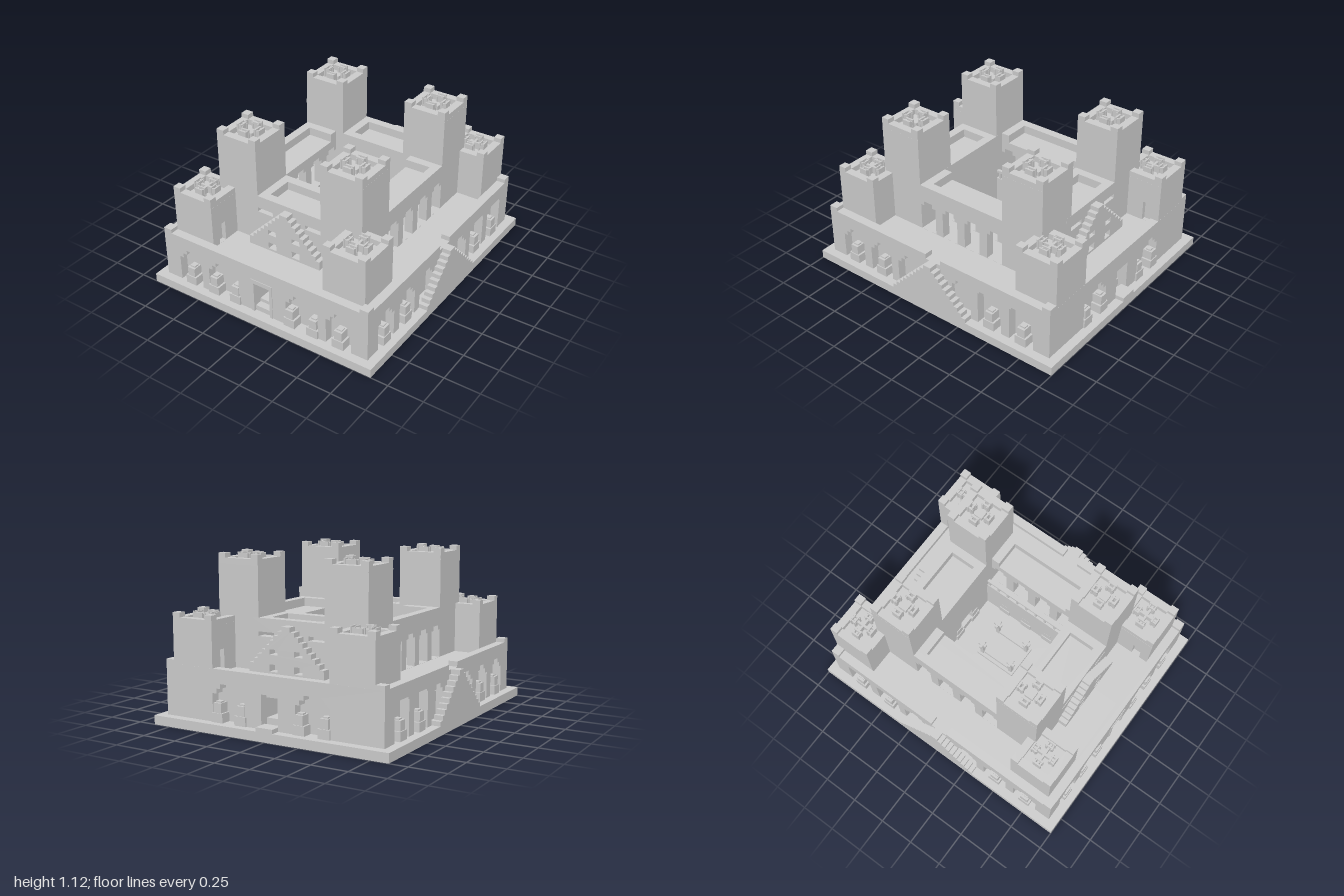
import * as THREE from 'three';

const U = 0.0625, S = U / 2;
const material = new THREE.MeshStandardMaterial({ color: 0xcccccc, flatShading: true });

export function createModel() {
  const model = new THREE.Group();
  model.name = 'courtyardCastle';

  const add = (name, geometry, parent = model) => {
    const mesh = new THREE.Mesh(geometry, material);
    mesh.name = name;
    parent.add(mesh);
    return mesh;
  };
  // box given by its limits on each axis
  const box = (name, x0, x1, y0, y1, z0, z1, parent) => {
    const g = new THREE.BoxGeometry(Math.abs(x1 - x0), y1 - y0, Math.abs(z1 - z0));
    g.translate((x0 + x1) / 2, (y0 + y1) / 2, (z0 + z1) / 2);
    return add(name, g, parent);
  };
  const toPoints = (list) => list.map(([x, y]) => new THREE.Vector2(x, y));
  const slab = (outline, holes, depth) => {
    const shape = new THREE.Shape(toPoints(outline));
    shape.holes = holes.map((h) => new THREE.Path(toPoints(h)));
    return new THREE.ExtrudeGeometry(shape, { depth, bevelEnabled: false });
  };
  // wall facing z, starting at z0; wall facing x, ending at x1
  const wallZ = (name, outline, holes, z0, depth = U) => add(name, slab(outline, holes, depth).translate(0, 0, z0));
  const wallX = (name, outline, holes, x1, depth = U) =>
    add(name, slab(outline, holes, depth).rotateY(-Math.PI / 2).translate(x1, 0, 0));
  const rect = (x0, x1, y0, y1) => [[x0, y0], [x1, y0], [x1, y1], [x0, y1]];
  // symmetric stepped outline from rows of [half width, top]
  const stepped = (c, y0, rows) => {
    const right = [];
    let y = y0;
    for (const [w, top] of rows) {
      right.push([w, y], [w, top]);
      y = top;
    }
    return [...right.map(([w, v]) => [c + w, v]), ...right.reverse().map(([w, v]) => [c - w, v])];
  };
  const arch = (c, w) => stepped(c, U, [[w, 0.25], [w - S, 0.283], [w - U, 0.315]]);
  const squareArch = (c, w) => stepped(c, U, [[w, 0.3], [w - 0.012, 0.315]]);
  const windowArch = (c) => stepped(c, 0.376, [[U, 0.57], [0.035, 0.6]]);
  const stairs = (n, y0, base) => stepped(0, base,
    Array.from({ length: n }, (_, i) => [S * (n - i), y0 + S * (i + 1)]));

  // base plate with a small opening underneath
  add('basePlate', slab(rect(-0.875, 0.875, -1, 1), [rect(-S, S, 0.01, 0.01 + U)], U).rotateX(-Math.PI / 2));
  box('backPath', -U, U, U, 0.09, -1, -0.9);

  // ground floor core around the courtyard, with a passage front and back
  for (const s of [-1, 1]) {
    box('groundFloorSide', s * 0.25, s * 0.75, U, 0.375, -0.875, 0.875);
    box('groundFloorFront', s * U, s * 0.25, U, 0.375, 0.3125, 0.875);
    box('groundFloorBack', s * U, s * 0.25, U, 0.375, -0.875, -0.38);
  }
  for (const [z0, z1] of [[0.3125, 0.875], [-0.875, -0.38]]) {
    box('passageCeiling', -U, U, 0.255, 0.375, z0, z1);
    box('passageFloor', -U, U, U, 0.125, z0, z1);
  }
  box('frontStep', -U, U, U, 0.1, 0.875, 0.925);

  // outer walls with arched niches and the low parapet
  const door = rect(-U, U, U, 0.285);
  const pairs = [-0.315, 0.315].map((c) => arch(c, 0.125));
  const outer = rect(-0.8125, 0.8125, 0.03, 0.41);
  wallZ('frontWall', outer, [door, ...pairs, arch(-0.595, 0.094), arch(0.595, 0.094)], 0.875);
  wallZ('backWall', outer, [door, ...pairs], -0.9375);
  const sideOutline = [[-0.875, 0.03], [0.875, 0.03], [0.875, 0.41], [U, 0.41], [U, 0.375],
    [-U, 0.375], [-U, 0.41], [-0.875, 0.41]];
  const sideNiches = [
    ...[0.725, 0.47, 0.22, -0.22].map((c) => arch(c, 0.094)),
    ...[-0.465, -0.72].map((c) => squareArch(c, 0.094))];
  for (const x of [0.8125, -0.75]) wallX('sideWall', sideOutline, sideNiches, x);
  for (const x of [-1, 1]) for (const z of [-1, 1])
    box('cornerMerlon', x * 0.75, x * 0.8125, 0.41, 0.4375, z * 0.875, z * 0.9375);

  // door frame posts and lintel
  for (const s of [-1, 1]) box('doorPost', s * U, s * 0.085, U, 0.315, 0.93, 0.942);
  box('doorLintel', -0.085, 0.085, 0.285, 0.315, 0.93, 0.942);

  // two-tier pedestals standing in the niches, local front toward +z
  const pedestal = (x, z, angle) => {
    const g = new THREE.Group();
    g.name = 'pedestal';
    box('pedestalFoot', -0.043, 0.043, U, 0.125, -U, 0.012, g);
    box('pedestalTop', -0.029, 0.029, 0.125, 0.19, -U, 0.006, g);
    box('pedestalCap', -0.02, 0.02, 0.19, 0.2, -0.045, -0.01, g);
    g.position.set(x, 0, z);
    g.rotation.y = angle;
    model.add(g);
  };
  for (const s of [-1, 1]) {
    for (const x of [0.22, 0.4, 0.595]) pedestal(s * x, 0.9375, 0);
    for (const x of [0.22, 0.4]) pedestal(s * x, -0.9375, Math.PI);
    for (const z of [0.725, 0.47, -0.465, -0.72]) pedestal(s * 0.8125, z, s * Math.PI / 2);
    for (const z of [-0.22, -0.03, 0.16]) pedestal(s * 0.255, z, -s * Math.PI / 2);
    pedestal(s * 0.09, -0.38, 0);
    pedestal(s * 0.09, 0.3125, Math.PI);
  }

  // outside stairs climbing both ways to the terrace
  for (const x of [0.875, -0.8125]) wallX('sideStairs', stairs(10, U, U), [], x);

  // stepped gables with small windows and doors
  const gableHoles = [-0.094, 0.094].flatMap((c) =>
    [rect(c - S, c + S, 0.5, 0.535), rect(c - S, c + S, 0.39, 0.4375)]);
  for (const z of [0.625, -0.75]) wallZ('steppedGable', stairs(9, 0.406, 0.375), gableHoles, z);

  // upper storey walls
  const slots = [rect(-0.25, -0.13, 0.6, 0.63), rect(0.13, 0.25, 0.6, 0.63)];
  for (const z of [0.5625, -0.6875]) wallZ('hallOuterWall', rect(-0.3, 0.3, 0.35, 0.72), slots, z);
  for (const z of [0.3125, -0.4375]) wallZ('hallCourtWall', rect(-0.5, 0.5, 0.35, 0.72), [], z);
  const windows = [0.25, 0.0625, -0.125, -0.3125].map(windowArch);
  for (const x of [0.5625, -0.5])
    wallX('galleryOuterWall', rect(-0.5, 0.45, 0.35, 0.72), windows, x);
  for (const x of [0.375, -0.3125])
    wallX('galleryCourtWall', rect(-0.43, 0.37, 0.35, 0.66), windows, x);

  // sunken roofs with raised ends, and the gallery rails
  for (const s of [-1, 1]) {
    box('galleryRoof', s * 0.3125, s * 0.52, 0.63, 0.66, -0.4, 0.34);
    box('galleryRoofEnd', s * 0.3125, s * 0.52, 0.63, 0.72, 0.25, 0.32);
    box('galleryRoofEnd', s * 0.3125, s * 0.52, 0.63, 0.72, -0.38, -0.3125);
    box('galleryRail', s * 0.253, s * 0.275, 0.42, 0.4375, -0.38, 0.3125);
    for (let i = 0; i < 9; i++) {
      const z = -0.36 + i * 0.081;
      box('railPost', s * 0.255, s * 0.273, 0.37, 0.425, z - 0.008, z + 0.008);
    }
  }
  for (const [z0, z1] of [[0.36, 0.58], [-0.64, -0.42]]) {
    box('hallRoof', -0.27, 0.27, 0.63, 0.66, z0, z1);
    for (const s of [-1, 1]) box('hallRoofEnd', s * 0.19, s * 0.26, 0.63, 0.72, z0, z1);
  }

  // tower top: sunken floor, rim, corner merlons and a cross of small blocks
  const towerTop = (cx, cz, top, thin, parent) => {
    const h = 0.156, i = h - 0.055, rim = top - S, floor = top - 0.07;
    for (const s of [-1, 1]) {
      box('rim', cx + s * i, cx + s * h, floor, rim, cz - h, cz + h, parent);
      box('rim', cx - i, cx + i, floor, rim, cz + s * i, cz + s * h, parent);
      for (const t of [-1, 1])
        box('merlon', cx + s * i, cx + s * h, rim, top, cz + t * i, cz + t * h, parent);
    }
    const w = thin ? 0.01 : 0.013;
    for (let k = 0; k < 4; k++) {
      const arm = new THREE.Group();
      arm.name = 'crossArm';
      for (const s of [-1, 1])
        box('armBlock', 0.045, 0.09, floor, top - 0.01, s * 0.02 - w / 2, s * 0.02 + w / 2, arm);
      for (const d of [0.05, 0.08])
        box('armBar', d, d + w, floor, top - 0.002, -0.03, 0.03, arm);
      if (thin) box('armSpine', 0, 0.09, floor, top - 0.02, -0.008, 0.008, arm);
      arm.position.set(cx, 0, cz);
      arm.rotation.y = k * Math.PI / 2;
      parent.add(arm);
    }
    if (!thin) box('crossHub', cx - 0.03, cx + 0.03, floor, top - 0.04, cz - 0.03, cz + 0.03, parent);
  };

  for (const s of [-1, 1]) {
    // tall inner towers
    for (const z of [0.469, -0.531]) {
      const t = new THREE.Group();
      t.name = 'tallTower';
      box('towerBody', s * 0.25, s * 0.5625, 0.375, 1.055, z - 0.156, z + 0.156, t);
      towerTop(s * 0.406, z, 1.125, false, t);
      model.add(t);
    }
    // low corner towers with a doorway toward the middle
    for (const z of [0.719, -0.781]) {
      const t = new THREE.Group();
      t.name = 'cornerTower';
      box('towerBody', s * 0.47, s * 0.75, 0.375, 0.68, z - 0.156, z + 0.156, t);
      const c = z + Math.sign(z) * 0.06;
      const skin = wallX('towerDoorWall', rect(z - 0.156, z + 0.156, 0.36, 0.68),
        [rect(c - S, c + S, 0.376, 0.52)], s > 0 ? 0.4705 : -0.4375, 0.033);
      t.add(skin);
      towerTop(s * 0.594, z, 0.75, true, t);
      model.add(t);
    }
  }

  // courtyard centrepiece: platform, kerbs and four posts with cross caps
  box('platform', -0.125, 0.125, U, 0.085, -0.195, 0.115);
  for (const s of [-1, 1]) {
    box('kerb', s * 0.085, s * 0.1, 0.085, 0.11, -0.165, 0.085);
    for (const z of [-0.165, 0.085]) {
      const x = s * 0.095;
      box('post', x - 0.014, x + 0.014, 0.085, 0.24, z - 0.014, z + 0.014);
      box('postCap', x - 0.03, x + 0.03, 0.21, 0.235, z - 0.01, z + 0.01);
      box('postCap', x - 0.01, x + 0.01, 0.21, 0.235, z - 0.03, z + 0.03);
    }
  }
  return model;
}
